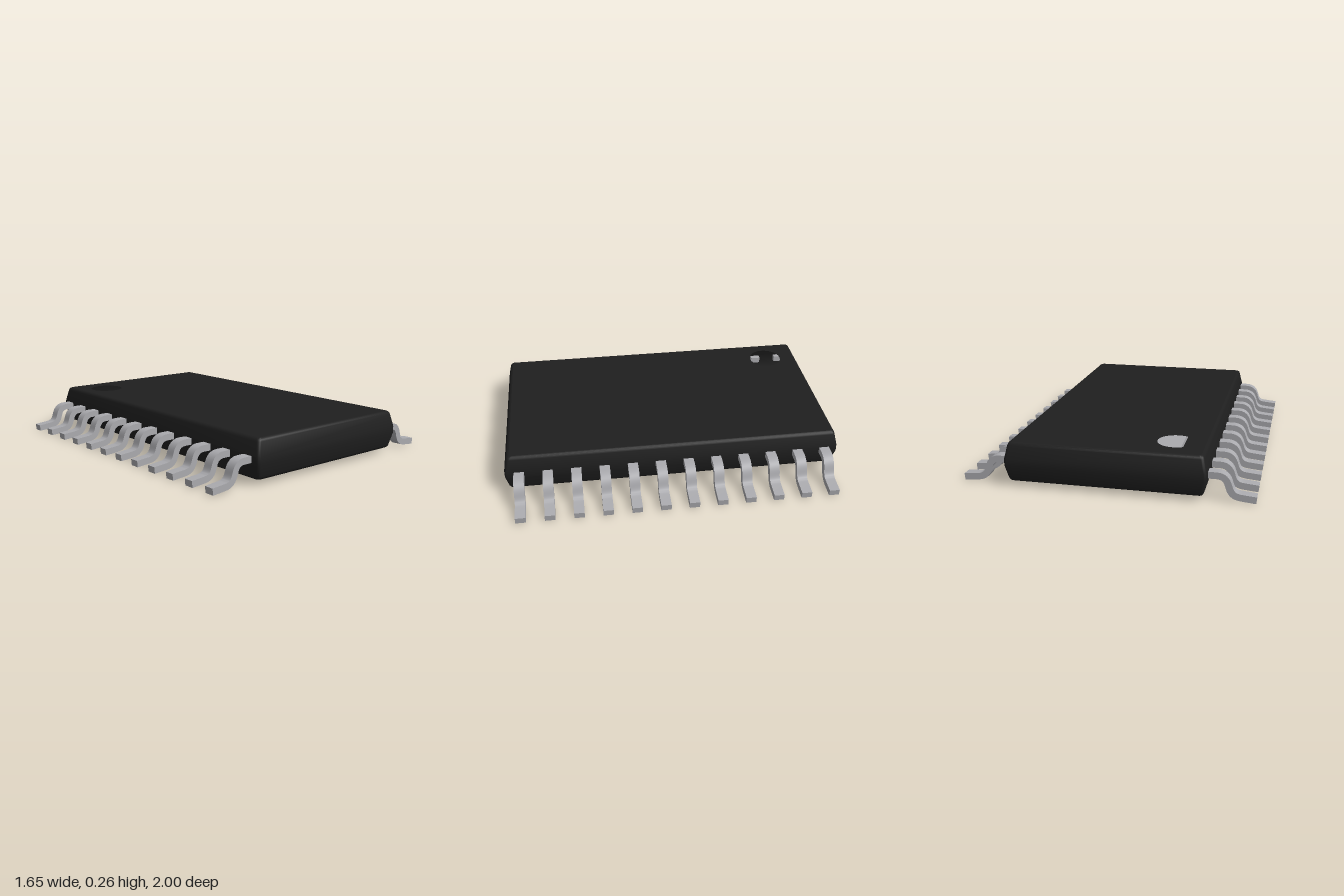
import * as THREE from 'three';
import { toCreasedNormals } from 'three/addons/utils/BufferGeometryUtils.js';

const plastic = new THREE.MeshStandardMaterial({ color: 0x1f1f1f, side: THREE.DoubleSide });
plastic.name = 'black plastic';
const metal = new THREE.MeshStandardMaterial({ color: 0xababaf });
metal.name = 'tinned metal';

// Rounded rectangle outline, inset from the widest body section
function outline(inset) {
  const r = 0.018, steps = 4, pts = [];
  const w = 0.562 - inset - r, d = 1 - inset - r;
  [[1, 1], [-1, 1], [-1, -1], [1, -1]].forEach(([sx, sy], q) => {
    for (let i = 0; i <= steps; i++) {
      const a = (q + i / steps) * Math.PI / 2;
      pts.push(new THREE.Vector2(sx * w + r * Math.cos(a), sy * d + r * Math.sin(a)));
    }
  });
  return pts;
}

// Hollow body: tapered walls with softened rims, open marker hole in the top
function makeBody() {
  const body = new THREE.Group();
  body.name = 'body';
  const half = [[0, 0.02], [0.017, 0.095], [0.021, 0.105], [0.027, 0.111], [0.035, 0.114]];
  const profile = [...half.map(([i, y]) => [i, 0.145 - y]).reverse(), ...half.map(([i, y]) => [i, 0.145 + y])];
  const pos = [], index = [], n = outline(0).length;
  profile.forEach(([inset, y]) => outline(inset).forEach(p => pos.push(p.x, y, p.y)));
  for (let j = 0; j < profile.length - 1; j++) {
    for (let i = 0; i < n; i++) {
      const a = j * n + i, b = j * n + (i + 1) % n;
      index.push(a, a + n, b, b, a + n, b + n);
    }
  }
  const geo = new THREE.BufferGeometry();
  geo.setAttribute('position', new THREE.Float32BufferAttribute(pos, 3));
  geo.setIndex(index);
  const walls = new THREE.Mesh(toCreasedNormals(geo, 0.65), plastic);
  walls.name = 'bodyWalls';

  const topShape = new THREE.Shape(outline(0.035));
  topShape.holes.push(new THREE.Path().absarc(-0.36, 0.77, 0.104, 0, Math.PI * 2, true));
  const top = new THREE.Mesh(new THREE.ShapeGeometry(topShape, 24).rotateX(-Math.PI / 2), plastic);
  top.position.y = 0.259;
  top.name = 'bodyTop';

  const bottom = new THREE.Mesh(
    new THREE.ShapeGeometry(new THREE.Shape(outline(0.035))).rotateX(Math.PI / 2), plastic);
  bottom.position.y = 0.031;
  bottom.name = 'bodyBottom';
  body.add(walls, top, bottom);
  return body;
}

// Thermal pad set into the underside, with two small tabs on each end
function makePad() {
  const w = 0.31, d = 0.66, t = 0.045;
  const end = [[w, d], [0.125, d], [0.125, d + t], [0.045, d + t], [0.045, d],
    [-0.045, d], [-0.045, d + t], [-0.125, d + t], [-0.125, d], [-w, d]];
  const pts = [...end, ...end.map(([x, y]) => [-x, -y])].map(p => new THREE.Vector2(...p));
  const geo = new THREE.ExtrudeGeometry(new THREE.Shape(pts), { depth: 0.03, bevelEnabled: false });
  const pad = new THREE.Mesh(geo.rotateX(-Math.PI / 2), metal);
  pad.position.y = 0.028;
  pad.name = 'thermalPad';
  return pad;
}

// Gull-wing lead: a centre line thickened into a strip, then extruded
function makePinGeometry() {
  const v = (x, y) => new THREE.Vector2(x, y);
  const path = new THREE.CurvePath();
  path.add(new THREE.LineCurve(v(0.53, 0.144), v(0.605, 0.144)));
  path.add(new THREE.CubicBezierCurve(v(0.605, 0.144), v(0.645, 0.144), v(0.662, 0.125), v(0.672, 0.09)));
  path.add(new THREE.CubicBezierCurve(v(0.672, 0.09), v(0.683, 0.05), v(0.698, 0.033), v(0.74, 0.029)));
  path.add(new THREE.LineCurve(v(0.74, 0.029), v(0.821, 0.021)));
  const upper = [], lower = [];
  path.curves.forEach((c, k) => {
    const steps = k % 3 ? 8 : 1;
    for (let i = k ? 1 : 0; i <= steps; i++) {
      const p = c.getPoint(i / steps), t = c.getTangent(i / steps);
      const nrm = v(-t.y, t.x).multiplyScalar(0.019);
      upper.push(p.clone().add(nrm));
      lower.push(p.clone().sub(nrm));
    }
  });
  const shape = new THREE.Shape([...lower, ...upper.reverse()]);
  const geo = new THREE.ExtrudeGeometry(shape, { depth: 0.06, bevelEnabled: false });
  return toCreasedNormals(geo.translate(0, 0, -0.03), 0.6);
}

export function createModel() {
  const model = new THREE.Group();
  model.name = 'chip';
  model.add(makeBody(), makePad());

  // Twelve leads on each long side
  const pinGeo = makePinGeometry();
  for (const side of [1, -1]) {
    const row = new THREE.Group();
    row.name = side > 0 ? 'leftPins' : 'rightPins';
    for (let i = 0; i < 12; i++) {
      const pin = new THREE.Mesh(pinGeo, metal);
      pin.name = 'pin';
      pin.position.z = (i - 5.5) / 6;
      row.add(pin);
    }
    if (side < 0) row.rotation.y = Math.PI;
    model.add(row);
  }
  return model;
}
